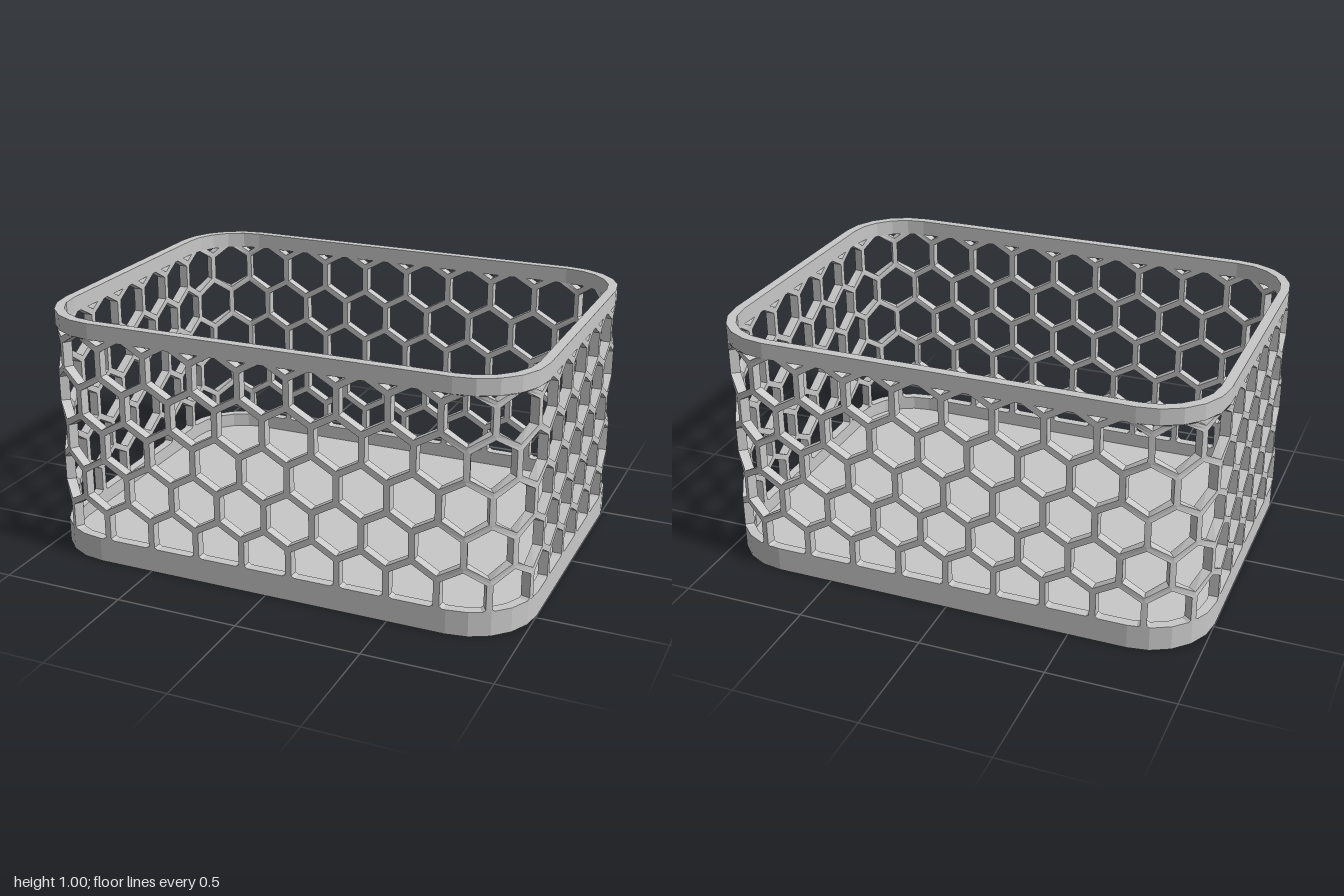
import * as THREE from 'three';

const W = 1, D = 0.748, R = 0.27, WALL = 0.039;   // half width, half depth, corner radius, wall
const BASE = 0.1, RIM = 0.936, FLOOR = 0.04;      // base top, rim bottom, floor thickness
const A = W - R, B = D - R, ARC = Math.PI * R / 2;
const PERIMETER = 4 * (A + B + ARC);
const COLUMNS = 33, PITCH = PERIMETER / COLUMNS, SIDE = PITCH / Math.sqrt(3);
const STRUT = 0.025;
const CORNERS = [[A, B], [A, -B], [-A, -B], [-A, B]];

// Point on the rounded wall, u measured from the front centre towards +x
function wallPoint(u, y, inset) {
  let d = (u + A + PERIMETER) % PERIMETER;
  const r = R - inset;
  for (let k = 0; k < 4; k++) {
    const length = k % 2 ? 2 * B : 2 * A;
    const from = CORNERS[(k + 3) % 4], to = CORNERS[k];
    const phi = k * Math.PI / 2;
    if (d <= length) {
      const t = d / length;
      return [from[0] + (to[0] - from[0]) * t + r * Math.sin(phi), y,
        from[1] + (to[1] - from[1]) * t + r * Math.cos(phi)];
    }
    d -= length;
    if (d <= ARC || k === 3) {
      const a = phi + d / R;
      return [to[0] + r * Math.sin(a), y, to[1] + r * Math.cos(a)];
    }
    d -= ARC;
  }
}

// Rounded rectangle with faceted corners
function outline(inset) {
  const points = [], steps = 5;
  CORNERS.forEach(([x, z], k) => {
    for (let i = 0; i <= steps; i++) {
      const a = (k + i / steps) * Math.PI / 2;
      points.push(new THREE.Vector2(x + (R - inset) * Math.sin(a), z + (R - inset) * Math.cos(a)));
    }
  });
  return points.reverse();
}

// Flat plate, or an open band when hollow; the hole runs against the outer edge
function slab(hollow, y, height) {
  const shape = new THREE.Shape(outline(0));
  if (hollow) shape.holes.push(new THREE.Path(outline(WALL).reverse()));
  const geometry = new THREE.ExtrudeGeometry(shape, { depth: height, bevelEnabled: false });
  return geometry.rotateX(-Math.PI / 2).translate(0, y, 0);
}

// Keep the part of a polygon between the base and the rim
function clip(points) {
  for (const [limit, sign] of [[BASE, 1], [RIM, -1]]) {
    const kept = [];
    points.forEach((p, i) => {
      const q = points[(i + 1) % points.length];
      const a = (p[1] - limit) * sign, b = (q[1] - limit) * sign;
      if (a >= 0) kept.push(p);
      if (a * b < 0) kept.push([p[0] + (q[0] - p[0]) * a / (a - b), limit]);
    });
    points = kept;
  }
  return points;
}

function hexagon(u, y, radius) {
  const points = [];
  for (let i = 0; i < 6; i++) {
    const a = (i + 0.5) * Math.PI / 3;
    points.push([u + radius * Math.cos(a), y + radius * Math.sin(a)]);
  }
  return clip(points);
}

// Honeycomb wall: one hexagonal frame per cell, bent around the outline
function honeycomb() {
  const positions = [];
  const quad = (a, b, c, d) => positions.push(...a, ...b, ...c, ...a, ...c, ...d);
  const out = p => wallPoint(p[0], p[1], 0), inn = p => wallPoint(p[0], p[1], WALL);
  const holeRadius = SIDE - STRUT / Math.sqrt(3);
  for (let row = -2; row <= 3; row++) {
    for (let col = 0; col < COLUMNS; col++) {
      const u = (col + (row % 2 ? 0.5 : 0)) * PITCH, y = 0.5 + row * 1.5 * SIDE;
      const cell = hexagon(u, y, SIDE), hole = hexagon(u, y, holeRadius);
      for (let i = 0; i < cell.length; i++) {
        const j = (i + 1) % cell.length;
        const y0 = hole[i][1], y1 = hole[j][1];
        if (y0 === y1 && (y0 === BASE || y0 === RIM)) continue;
        quad(out(cell[i]), out(cell[j]), out(hole[j]), out(hole[i]));
        quad(inn(cell[j]), inn(cell[i]), inn(hole[i]), inn(hole[j]));
        quad(out(hole[i]), out(hole[j]), inn(hole[j]), inn(hole[i]));
      }
    }
  }
  const geometry = new THREE.BufferGeometry();
  geometry.setAttribute('position', new THREE.Float32BufferAttribute(positions, 3));
  geometry.computeVertexNormals();
  return geometry;
}

export function createModel() {
  const grey = new THREE.MeshStandardMaterial({ color: 0xc8c8c8 });
  grey.name = 'plasticGrey';
  const basket = new THREE.Group();
  basket.name = 'basket';
  const add = (name, geometry) => {
    const mesh = new THREE.Mesh(geometry, grey);
    mesh.name = name;
    basket.add(mesh);
  };
  add('floor', slab(false, 0, FLOOR));
  add('baseBand', slab(true, FLOOR, BASE - FLOOR));
  add('honeycombWall', honeycomb());
  add('topRim', slab(true, RIM, 1 - RIM));
  return basket;
}
